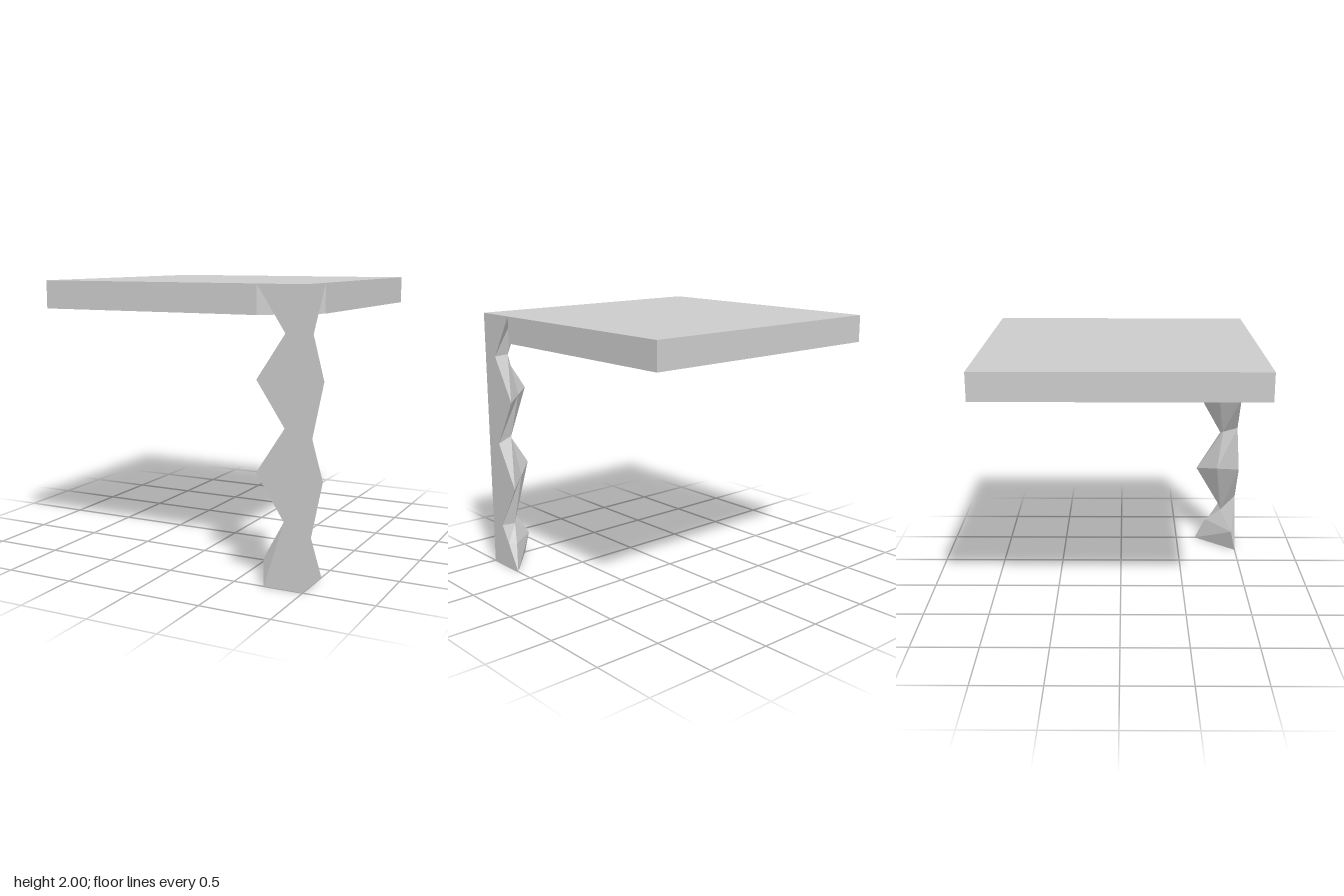
import * as THREE from 'three';

const material = new THREE.MeshStandardMaterial({ color: 0xcccccc, flatShading: true });

// Square slab with one corner cut off, extruded downward from yTop
function slab(name, yTop, thickness, holeHalf) {
  const shape = new THREE.Shape([
    [-1, -1], [1, -1], [1, 0.667], [0.66, 1], [-1, 1],
  ].map(([x, z]) => new THREE.Vector2(x, z)));
  if (holeHalf) {
    const h = holeHalf;
    shape.holes.push(new THREE.Path([
      [-h, -h], [-h, h], [h, h], [h, -h],
    ].map(([x, z]) => new THREE.Vector2(x, z))));
  }
  const geometry = new THREE.ExtrudeGeometry(shape, { depth: thickness, bevelEnabled: false });
  geometry.rotateX(Math.PI / 2);
  const mesh = new THREE.Mesh(geometry, material);
  mesh.name = name;
  mesh.position.y = yTop;
  return mesh;
}

// Corner leg: flat outer faces, zigzag edges and a faceted inner side
function cornerLeg() {
  const v = (x, y, z) => new THREE.Vector3(x, y, z);
  const positions = [];
  const tri = (...corners) => {
    const [a, b, c] = corners;
    if (new THREE.Triangle(a, b, c).getArea() < 1e-6) return;
    corners.forEach((p) => positions.push(p.x, p.y, p.z));
  };
  const quad = (a, b, c, d) => { tri(a, b, c); tri(a, c, d); };

  // Each row: front edge, two inner points, side edge
  const foot = [v(0.72, 0, 1), v(1, 0, 0.667)];
  const rows = [
    [foot[0], foot[0], foot[1], foot[1]],
    [v(0.775, 0.18, 1), v(0.70, 0.18, 0.96), v(0.95, 0.2, 0.75), v(1, 0.2, 0.786)],
  ];
  // Narrow and wide rows alternate: front height, inner height, side height
  [
    [0.46, 0.32, 0.335], [0.77, 0.72, 0.67], [1.08, 1.04, 1.0],
    [1.385, 1.37, 1.35], [1.69, 1.685, 1.68], [2, 2, 2],
  ].forEach(([yFront, yInner, ySide], i) => {
    const wide = i % 2 === 1;
    const inner = wide ? v(0.83, yInner, 0.833) : v(0.88, yInner, 0.88);
    rows.push([
      v(wide ? 0.66 : 0.862, yFront, 1), inner, inner, v(1, ySide, wide ? 0.667 : 0.867),
    ]);
  });

  const outer = (p) => v(1, p.y, 1);
  for (let i = 0; i < rows.length - 1; i++) {
    const low = rows[i];
    const high = rows[i + 1];
    quad(low[0], outer(low[0]), outer(high[0]), high[0]); // front face
    quad(outer(low[3]), low[3], high[3], outer(high[3])); // side face
    for (let j = 0; j < 3; j++) quad(low[j + 1], low[j], high[j], high[j + 1]); // inner facets
  }
  // End caps
  const top = rows[rows.length - 1];
  tri(outer(foot[0]), foot[0], foot[1]);
  tri(outer(top[0]), top[3], top[0]);
  tri(top[0], top[3], top[1]);

  const geometry = new THREE.BufferGeometry();
  geometry.setAttribute('position', new THREE.Float32BufferAttribute(positions, 3));
  geometry.computeVertexNormals();
  const mesh = new THREE.Mesh(geometry, material);
  mesh.name = 'cornerLeg';
  return mesh;
}

export function createModel() {
  const group = new THREE.Group();
  group.name = 'cornerTable';
  group.add(
    slab('tableTop', 2, 0.15),
    slab('undersideRim', 1.85, 0.05, 0.625), // leaves a shallow square recess below
    cornerLeg(),
  );
  return group;
}
